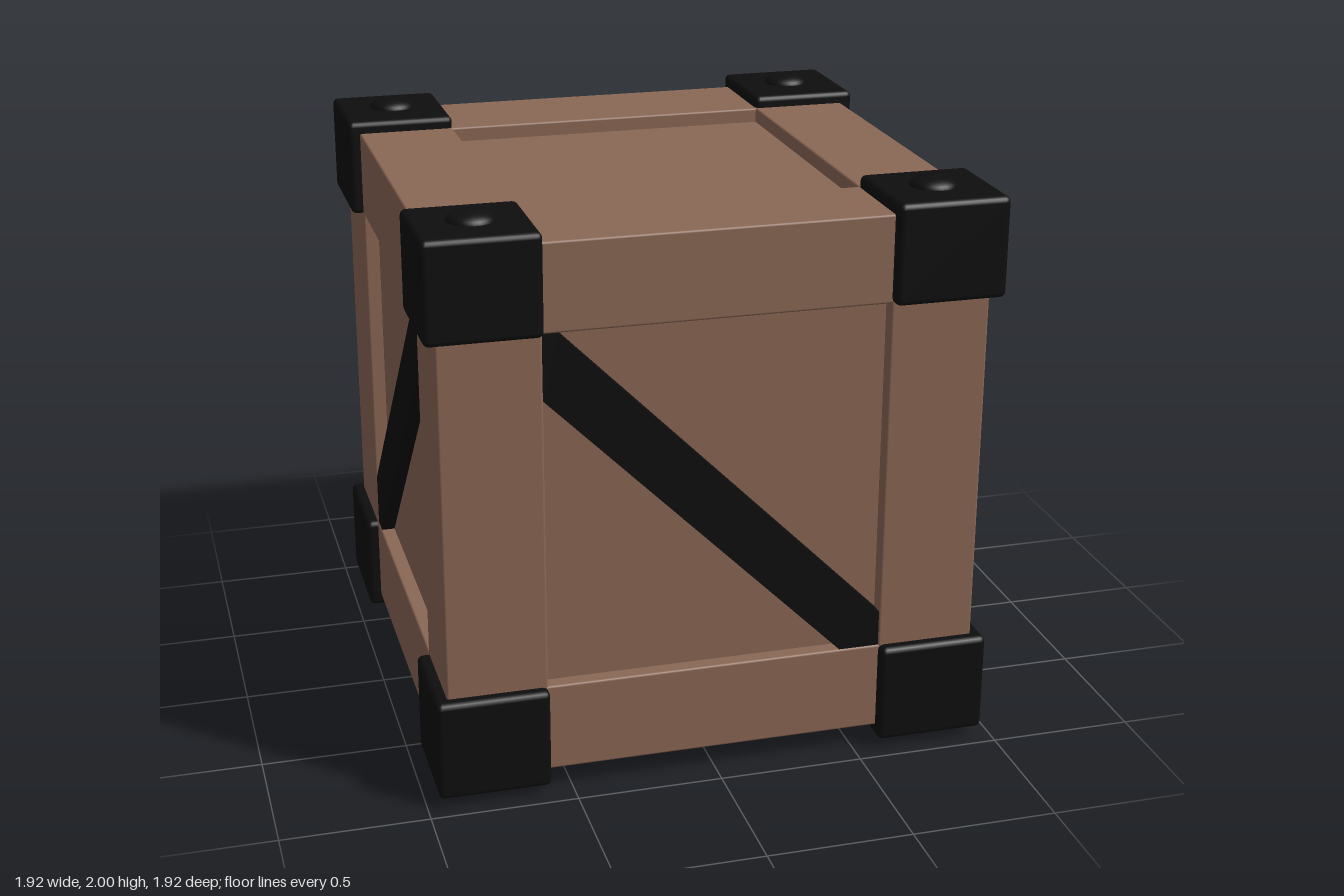
import * as THREE from 'three';
import { RoundedBoxGeometry } from 'three/addons/geometries/RoundedBoxGeometry.js';

const wood = new THREE.MeshStandardMaterial({ color: 0x8a6754 });
const iron = new THREE.MeshStandardMaterial({ color: 0x0e0e0e });

// Inner and outer limits of the frame on each axis: [outerMin, innerMin, innerMax, outerMax]
const X = [-0.92, -0.58, 0.58, 0.92];
const Y = [0.08, 0.39, 1.625, 1.925];
const Z = [-0.92, -0.55, 0.575, 0.92];
const RECESS = 0.052;

export function createModel() {
  const crate = new THREE.Group();
  crate.name = 'crate';

  const add = (name, geometry, material) => {
    const mesh = new THREE.Mesh(geometry, material);
    mesh.name = name;
    crate.add(mesh);
    return mesh;
  };

  // Box given by its min/max range on each axis, with softened edges
  const block = (name, x, y, z, radius, material) => {
    const r = [x, y, z];
    const size = r.map(([a, b]) => b - a);
    const mesh = add(name, new RoundedBoxGeometry(...size, 2, radius), material);
    mesh.position.set(...r.map(([a, b]) => (a + b) / 2));
  };

  // Recessed panels on all six sides are the faces of one core
  const inset = (a) => [a[0] + RECESS, a[3] - RECESS];
  const [cx, cy, cz] = [inset(X), inset(Y), inset(Z)];
  add('panels', new THREE.BoxGeometry(cx[1] - cx[0], cy[1] - cy[0], cz[1] - cz[0]), wood)
    .position.set(0, (cy[0] + cy[1]) / 2, (cz[0] + cz[1]) / 2);

  // Twelve frame beams: a low or high end on two axes, the full span on the third
  const end = (a, high) => (high ? [a[2], a[3]] : [a[0], a[1]]);
  const span = (a) => [a[1] - 0.03, a[2] + 0.03];
  for (const i of [0, 1]) {
    for (const j of [0, 1]) {
      block('post', end(X, i), span(Y), end(Z, j), 0.008, wood);
      block('widthBeam', span(X), end(Y, i), end(Z, j), 0.008, wood);
      block('depthBeam', end(X, i), end(Y, j), span(Z), 0.008, wood);
    }
  }

  // Metal corner caps, each with a flat domed stud above or below
  const grow = (a, high) => {
    const [lo, hi] = end(a, high);
    return high ? [lo, hi + 0.042] : [lo - 0.042, hi];
  };
  const dome = new THREE.SphereGeometry(0.08, 24, 8, 0, Math.PI * 2, 0, Math.PI / 2);
  dome.scale(1, 0.45, 1);
  for (const i of [0, 1]) {
    for (const j of [0, 1]) {
      for (const k of [0, 1]) {
        block('cornerCap', grow(X, i), grow(Y, j), grow(Z, k), 0.02, iron);
        const stud = add('stud', dome, iron);
        stud.position.set(i ? 0.768 : -0.768, j ? 1.964 : 0.036, k ? 0.76 : -0.77);
        if (!j) stud.rotation.x = Math.PI;
      }
    }
  }

  // Diagonal straps, clipped by the frame opening; outline as seen facing each side
  const strap = (name, points, angle) => {
    const shape = new THREE.Shape(points.map(([u, v]) => new THREE.Vector2(u, v)));
    const geometry = new THREE.ExtrudeGeometry(shape, { depth: RECESS, bevelEnabled: false });
    geometry.translate(0, 0, 0.92 - RECESS - 0.004);
    add(name, geometry, iron).rotation.y = angle;
  };
  const falling = [[-0.58, 1.4], [0.44, 0.39], [0.58, 0.39], [0.58, 0.515], [-0.53, 1.625], [-0.58, 1.625]];
  const rising = [[-0.575, 0.39], [-0.5, 0.39], [0.55, 1.43], [0.55, 1.625], [0.475, 1.625], [-0.575, 0.58]];
  strap('frontStrap', falling, 0);
  strap('backStrap', falling, Math.PI);
  strap('leftStrap', rising, Math.PI / 2);
  strap('rightStrap', rising.map(([u, v]) => [u + 0.025, v]), -Math.PI / 2);

  return crate;
}
